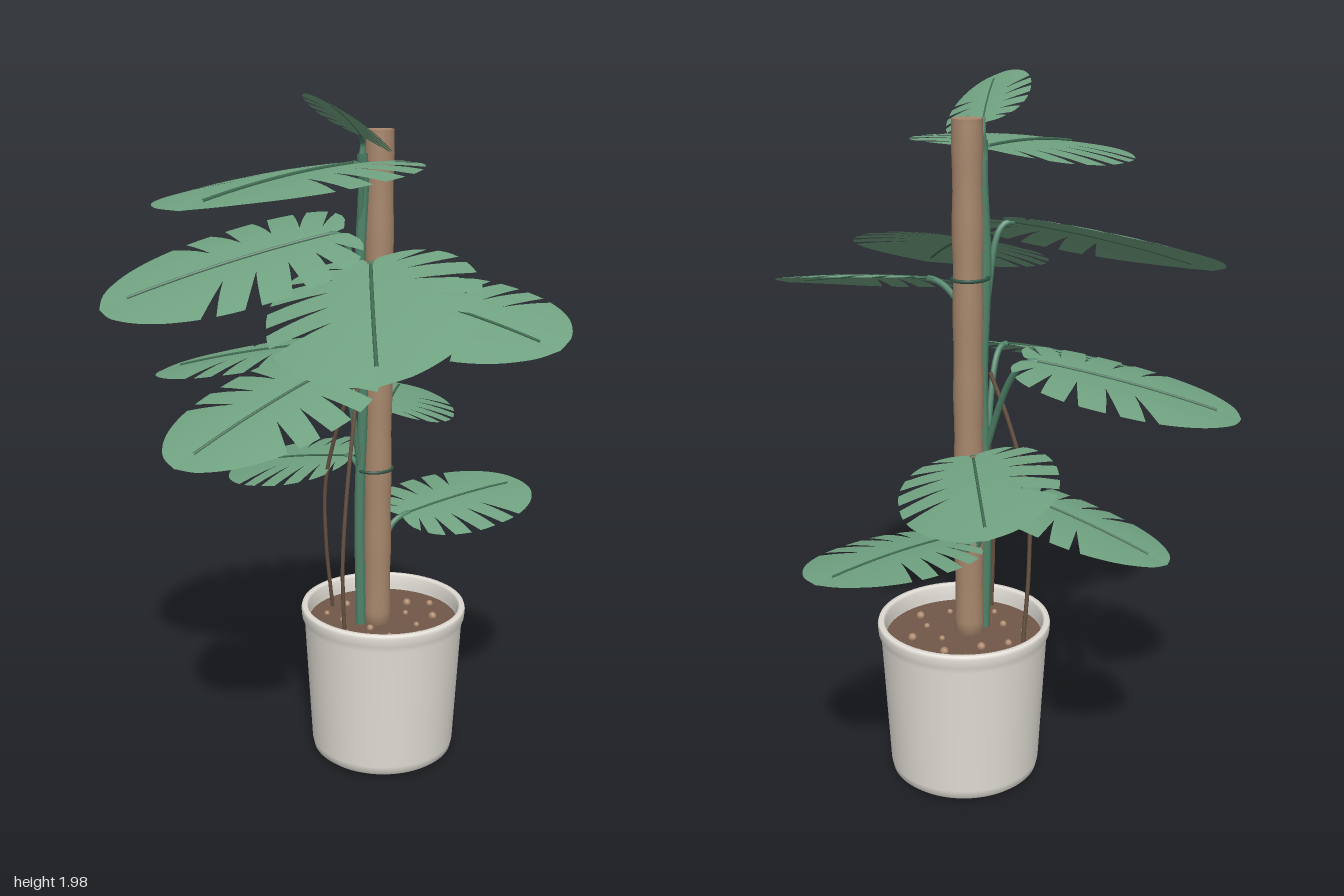
import * as THREE from 'three';

const mat = (name, color, double) => {
  const m = new THREE.MeshStandardMaterial({ color });
  m.name = name;
  if (double) m.side = THREE.DoubleSide;
  return m;
};
const V = (x, y, z) => new THREE.Vector3(x, y, z);

// Unit blade lying along +z with its face towards +y: split fingers near the stalk, whole tip
const bend = (x, z) => -0.08 * z * z - 0.28 * x * x + 0.05 * Math.abs(x);

function bladeGeometry() {
  const edge = new THREE.SplineCurve([
    [0.03, -0.07], [0.18, -0.1], [0.34, -0.02], [0.43, 0.18], [0.44, 0.42],
    [0.4, 0.64], [0.3, 0.83], [0.15, 0.96], [0, 1],
  ].map(p => new THREE.Vector2(...p)));
  const fingers = [[0, 0.19], [0.19, 0.3], [0.3, 0.4], [0.4, 0.5], [0.5, 0.6], [0.6, 1]];
  const rows = [0, 0.2, 0.4, 0.6, 0.8, 1];
  const slitStart = 0.4;
  const pos = [], index = [];
  for (const side of [1, -1]) {
    fingers.forEach(([a, b], f) => {
      const last = f === fingers.length - 1;
      const steps = last ? 14 : 4;
      const start = pos.length / 3;
      for (let i = 0; i <= steps; i++) {
        for (const v of rows) {
          // Fingers narrow outwards so the slits open as wedges
          const k = Math.max(0, (v - slitStart) / (1 - slitStart)) * 0.018;
          const lo = a + (f ? k : 0), hi = last ? b : b - k;
          const s = lo + (hi - lo) * i / steps;
          const e = edge.getPoint(s);
          const m = Math.pow(s, 1.7);
          const x = e.x * v * side, z = m + (e.y - m) * v;
          pos.push(x, bend(x, z), z);
        }
      }
      const n = rows.length;
      for (let i = 0; i < steps; i++) for (let j = 0; j < n - 1; j++) {
        const p = start + i * n + j, q = p + n;
        if (side > 0) index.push(p, q, q + 1, p, q + 1, p + 1);
        else index.push(p, q + 1, q, p, p + 1, q + 1);
      }
    });
  }
  const g = new THREE.BufferGeometry();
  g.setAttribute('position', new THREE.Float32BufferAttribute(pos, 3));
  g.setIndex(index);
  g.computeVertexNormals();
  return g;
}

export function createModel() {
  const root = new THREE.Group();
  const leafGreen = mat('leaf green', 0x70a281, true);
  const stemGreen = mat('stem green', 0x50846a);
  const veinGreen = mat('vein green', 0x416c53);
  const tieGreen = mat('tie green', 0x2f5343);
  const potWhite = mat('pot white', 0xe3dfd7, true);
  const soilBrown = mat('soil brown', 0x705849);
  const poleBrown = mat('pole brown', 0xa7876c);
  const rootBrown = mat('root brown', 0x655040);
  const pebbleTan = mat('pebble tan', 0xa88468);

  const add = (name, geo, material, x = 0, y = 0, z = 0, parent = root) => {
    const m = new THREE.Mesh(geo, material);
    m.name = name;
    m.position.set(x, y, z);
    parent.add(m);
    return m;
  };
  const tube = (pts, r, seg = 24) =>
    new THREE.TubeGeometry(new THREE.CatmullRomCurve3(pts), seg, r, 8);
  const lathe = (pts, seg) => new THREE.LatheGeometry(pts.map(p => new THREE.Vector2(...p)), seg);

  // Pot, soil and pebbles
  const px = 0.14, pz = -0.065;
  add('pot', lathe([[0, 0], [0.19, 0], [0.2, 0.002], [0.212, 0.012], [0.217, 0.035], [0.238, 0.42],
    [0.246, 0.44], [0.248, 0.465], [0.245, 0.475], [0.232, 0.476], [0.227, 0.468],
    [0.225, 0.44], [0.222, 0.38]], 64), potWhite, px, 0, pz);
  add('soil', new THREE.CylinderGeometry(0.225, 0.222, 0.03, 48), soilBrown, px, 0.41, pz);
  for (let i = 0; i < 14; i++) {
    const a = i * 2.4, r = 0.05 + 0.13 * Math.sqrt((i + 0.5) / 14);
    add('pebble', new THREE.SphereGeometry(0.009 + 0.002 * (i % 3), 10, 8), pebbleTan,
      px + r * Math.cos(a), 0.428, pz + r * Math.sin(a));
  }

  // Support pole with a slightly uneven outline
  const sx = 0.115, sz = -0.055;
  const profile = [[0, 0.4]];
  for (let i = 0; i <= 24; i++) {
    profile.push([0.0405 + 0.0015 * Math.sin(i * 1.7), 0.4 + 1.478 * i / 24]);
  }
  add('pole', lathe(profile, 24), poleBrown, sx, 0, sz);
  add('poleTop', new THREE.CylinderGeometry(0.041, 0.041, 0.01, 24), poleBrown, sx, 1.875, sz);

  // Climbing stem and the ties holding it to the pole
  add('stem', tube([V(0.063, 0.4, -0.055), V(0.06, 0.8, -0.06), V(0.066, 1.15, -0.05),
    V(0.058, 1.5, -0.055), V(0.066, 1.74, -0.05), V(0.058, 1.82, -0.04)], 0.016, 40), stemGreen);
  for (const y of [0.91, 1.46]) {
    const tie = add('tie', new THREE.TorusGeometry(0.043, 0.005, 8, 32), tieGreen, sx - 0.008, y, sz);
    tie.rotation.x = Math.PI / 2;
    tie.scale.x = 1.18;
  }

  // Aerial roots hanging into the soil
  add('aerialRoot', tube([V(0.06, 1.27, -0.05), V(0.02, 1.1, 0), V(-0.02, 0.85, 0.035),
    V(-0.035, 0.65, 0.045), V(-0.028, 0.42, 0.045)], 0.006), rootBrown);
  add('aerialRoot', tube([V(0.06, 1.2, -0.08), V(0.03, 1.06, -0.13), V(0, 0.85, -0.18),
    V(0.005, 0.65, -0.195), V(0.03, 0.42, -0.205)], 0.006), rootBrown);

  // Leaves: base x, y, z; tip x, z; blade tilt (normal x, z); stalk drop; stalk start x, z
  const leaves = [
    [0.045, 1.87, -0.025, -0.118, 0.178, 0.67, -0.03, 0.1],
    [0.01, 1.795, 0.005, -0.565, 0.35, -0.05, -0.07, 0.18],
    [-0.03, 1.6, -0.06, -0.665, -0.17, -0.24, 0.16, 0.25],
    [0.03, 1.535, 0.09, -0.2, 0.665, -0.25, 0.13, 0.2],
    [0.15, 1.44, 0.09, 0.345, 0.555, -0.2, 0.15, 0.2],
    [-0.06, 1.24, 0.02, -0.565, 0.19, -0.23, 0.13, 0.33],
    [0.01, 1.255, -0.23, -0.385, -0.61, -0.12, -0.1, 0.3],
    [0.225, 1.03, -0.25, 0.455, -0.65, 0.16, 0.09, 0.34, 0.14, -0.085],
    [0.23, 0.745, -0.087, 0.665, -0.19, -0.09, 0.12, 0.08, 0.14, -0.07],
    [0.085, 0.9, -0.23, -0.13, -0.635, -0.22, -0.08, 0.2, 0.11, -0.09],
  ];
  const blade = bladeGeometry();
  const rib = [];
  for (let i = 0; i <= 8; i++) rib.push(V(0, bend(0, i * 0.11) + 0.003, i * 0.11));
  const midrib = tube(rib, 0.008, 16);

  for (const [bx, by, bz, tx, tz, nx, nz, drop, ox = 0.06, oz = -0.055] of leaves) {
    const leaf = new THREE.Group();
    leaf.name = 'leaf';
    const base = V(bx, by, bz);
    const dx = tx - bx, dz = tz - bz;
    const d = V(dx, -nx * dx - nz * dz, dz);
    const size = d.length();
    d.normalize();
    const n = V(nx, 1, nz).normalize();
    const side = n.clone().cross(d);

    const top = new THREE.Group();
    top.name = 'leafBlade';
    top.quaternion.setFromRotationMatrix(new THREE.Matrix4().makeBasis(side, n, d));
    top.position.copy(base);
    top.scale.setScalar(size);
    add('blade', blade, leafGreen, 0, 0, 0, top);
    add('midrib', midrib, veinGreen, 0, 0, 0, top);
    leaf.add(top);

    // Stalk rises from the stem and arches over into the blade
    const from = V(ox, by - drop, oz);
    const stalk = new THREE.CubicBezierCurve3(from,
      from.clone().lerp(base, 0.3).setY(by - drop * 0.45),
      base.clone().addScaledVector(d, -0.07), base);
    add('stalk', new THREE.TubeGeometry(stalk, 20, 0.009, 8), stemGreen, 0, 0, 0, leaf);
    root.add(leaf);
  }
  return root;
}
